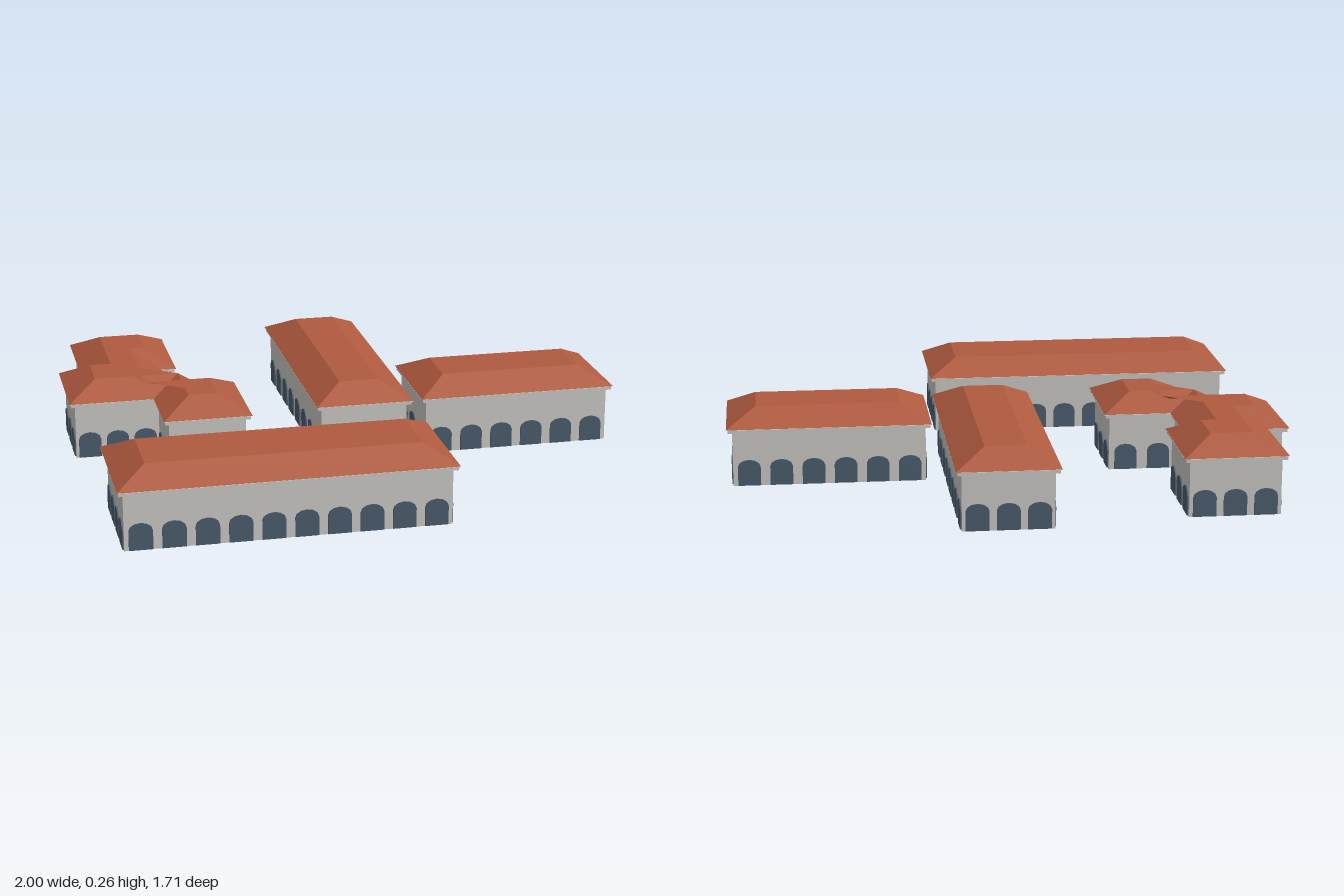
import * as THREE from 'three';

const wallMat = new THREE.MeshStandardMaterial({ color: 0xcfcdc9, side: THREE.DoubleSide });
wallMat.name = 'plaster grey';
const roofMat = new THREE.MeshStandardMaterial({ color: 0xaf5a3f, side: THREE.DoubleSide });
roofMat.name = 'terracotta';
const windowMat = new THREE.MeshStandardMaterial({ color: 0x4d5f70 });
windowMat.name = 'slate blue glass';

const EAVE_LOW = 0.19, EAVE_TOP = 0.204, ROOF_TOP = 0.26;

// Footprints are right-angled outlines [x, z], starting back left and running to the right
const rect = (cx, cz, hx, hz) => [
  [cx - hx, cz - hz], [cx + hx, cz - hz], [cx + hx, cz + hz], [cx - hx, cz + hz],
];

const edgeOf = (pts, i) => {
  const a = pts[i], b = pts[(i + 1) % pts.length];
  const length = Math.hypot(b[0] - a[0], b[1] - a[1]);
  return { a, b, length, dx: (b[0] - a[0]) / length, dz: (b[1] - a[1]) / length };
};

// Moves every edge of an outline inwards by t
function inset(pts, t) {
  return pts.map((p, i) => {
    const e = edgeOf(pts, (i + pts.length - 1) % pts.length), f = edgeOf(pts, i);
    return [p[0] - t * (e.dz + f.dz), p[1] + t * (e.dx + f.dx)];
  });
}

function surface(positions) {
  const g = new THREE.BufferGeometry();
  g.setAttribute('position', new THREE.Float32BufferAttribute(positions, 3));
  g.computeVertexNormals();
  return g;
}

// Band of flat faces between two outlines
function band(low, y0, high, y1) {
  const out = [];
  low.forEach((p, i) => {
    const j = (i + 1) % low.length;
    const a = [p[0], y0, p[1]], b = [low[j][0], y0, low[j][1]];
    const c = [high[j][0], y1, high[j][1]], d = [high[i][0], y1, high[i][1]];
    out.push(...a, ...c, ...b, ...a, ...d, ...c);
  });
  return surface(out);
}

// Flat face filling an outline
function cap(pts, y, up) {
  const v = pts.map((p) => new THREE.Vector2(p[0], p[1]));
  const out = [];
  for (const [i, j, k] of THREE.ShapeUtils.triangulateShape(v, [])) {
    const facesDown = (v[j].x - v[i].x) * (v[k].y - v[i].y) - (v[j].y - v[i].y) * (v[k].x - v[i].x) > 0;
    for (const n of facesDown === up ? [i, k, j] : [i, j, k]) out.push(v[n].x, y, v[n].y);
  }
  return surface(out);
}

// Arched opening standing on the ground
function windowGeometry() {
  const w = 0.039, spring = 0.066, rise = 0.026;
  const s = new THREE.Shape();
  s.moveTo(-w, 0.001);
  s.lineTo(w, 0.001);
  for (let i = 0; i <= 6; i++) {
    const a = (i / 6) * Math.PI;
    s.lineTo(w * Math.cos(a), spring + rise * Math.sin(a));
  }
  const g = new THREE.ExtrudeGeometry(s, { depth: 0.009, bevelEnabled: false });
  g.translate(0, 0, -0.0045);
  return g;
}

function building(name, outline) {
  const group = new THREE.Group();
  group.name = name;
  const add = (part, geometry, material) => {
    const m = new THREE.Mesh(geometry, material);
    m.name = part;
    group.add(m);
    return m;
  };
  const walls = inset(outline, 0.02), eave = inset(outline, 0.005), top = inset(outline, 0.102);

  add('walls', band(walls, 0, walls, EAVE_LOW), wallMat);
  add('eaveEdge', band(eave, EAVE_LOW, eave, EAVE_TOP), wallMat);
  add('ceiling', cap(eave, EAVE_LOW, false), wallMat);
  add('roofUnderside', cap(outline, EAVE_TOP - 0.001, false), wallMat);
  add('roofSlopes', band(outline, EAVE_TOP, top, ROOF_TOP), roofMat);
  add('roofTop', cap(top, ROOF_TOP, true), roofMat);

  // Evenly spaced arched windows along every wall
  const pane = windowGeometry();
  walls.forEach((_, i) => {
    const e = edgeOf(walls, i), n = Math.round(e.length / 0.11);
    for (let k = 0; k < n; k++) {
      const s = ((k + 0.5) / n) * e.length;
      const m = add('archedWindow', pane, windowMat);
      m.position.set(e.a[0] + e.dx * s, 0, e.a[1] + e.dz * s);
      m.rotation.y = Math.atan2(-e.dz, e.dx);
    }
  });
  return group;
}

export function createModel() {
  const model = new THREE.Group();
  model.name = 'buildingComplex';
  model.add(
    building('frontHall', rect(-0.326, 0.607, 0.556, 0.218)),
    building('longHall', rect(0.069, -0.322, 0.172, 0.487)),
    building('sideHall', rect(0.624, -0.036, 0.351, 0.197)),
    // Stepped block made of three joined wings
    building('steppedHall', [
      [-0.861, -0.74], [-0.514, -0.74], [-0.514, -0.371], [-0.567, -0.371],
      [-0.567, -0.177], [-0.335, -0.177], [-0.335, 0.197], [-0.642, 0.197],
      [-0.642, -0.05], [-0.936, -0.05], [-0.936, -0.412], [-0.861, -0.412],
    ]),
  );
  model.rotation.y = -0.154;
  return model;
}
